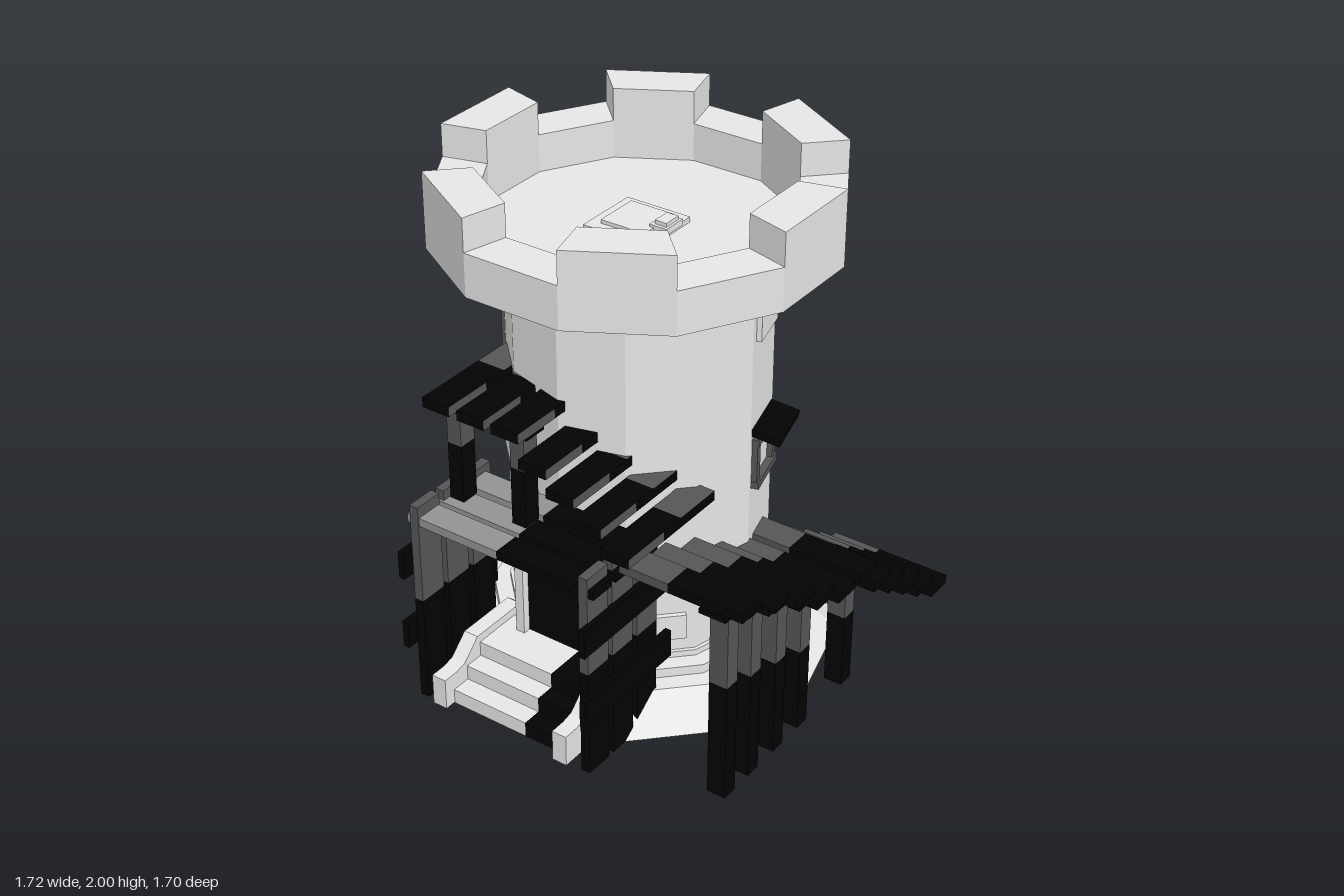
import * as THREE from 'three';

const mat = (name, color, side = THREE.FrontSide) =>
  Object.assign(new THREE.MeshStandardMaterial({ color, flatShading: true, side }), { name });
const stone = mat('stone', 0xe6e6e6, THREE.DoubleSide);
const wood = mat('wood', 0x565656);
const paleWood = mat('paleWood', 0x929292);
const black = mat('charredWood', 0x030303, THREE.DoubleSide);

const CX = -0.086, CZ = -0.072, DEG = Math.PI / 180;
const APOTHEM = 0.478; // tower wall facets

export function createModel() {
  const root = new THREE.Group();
  root.name = 'watchtower';

  const add = (name, geo, material, x = 0, y = 0, z = 0, parent = root) => {
    const m = new THREE.Mesh(geo, material);
    m.name = name;
    m.position.set(x, y, z);
    parent.add(m);
    return m;
  };
  // box from min and max corners
  const block = (name, material, x0, x1, y0, y1, z0, z1, parent = root) =>
    add(name, new THREE.BoxGeometry(x1 - x0, y1 - y0, z1 - z0), material,
      (x0 + x1) / 2, (y0 + y1) / 2, (z0 + z1) / 2, parent);
  const drum = (name, radius, y0, y1, start = 0) =>
    add(name, new THREE.CylinderGeometry(radius, radius, y1 - y0, 12, 1, false, start), stone, CX, (y0 + y1) / 2, CZ);
  const shell = (name, profile, start) =>
    add(name, new THREE.LatheGeometry(profile.map(p => new THREE.Vector2(...p)), 12, start), stone, CX, 0, CZ);

  // plank along local x: each long face is plain at its left end and charred on the rest
  const plank = (name, len, h, d, split = 0.4, plain = wood) => {
    const g = new THREE.Group();
    g.name = name;
    const cuts = [0, split, 1 - split, 1];
    for (let i = 0; i < 3; i++) {
      const a = (cuts[i] - 0.5) * len, b = (cuts[i + 1] - 0.5) * len;
      const face = i === 0 ? plain : black, back = i === 2 ? plain : black;
      block(name + 'Section', [black, face, face, face, face, back], a, b, -h / 2, h / 2, -d / 2, d / 2, g);
    }
    root.add(g);
    return g;
  };
  const post = (name, x, z, y0, y1, w, d, split) => {
    const g = plank(name, y1 - y0, w, d, split);
    g.rotation.z = -Math.PI / 2;
    g.position.set(x, (y0 + y1) / 2, z);
  };

  // hollow base and shaft
  shell('plinth', [[0.775, 0], [0.645, 0.125], [0, 0.125]], 0);
  drum('lowerRing', 0.575, 0.126, 0.165);
  drum('upperRing', 0.51, 0.165, 0.19);
  drum('shaft', 0.495, 0.185, 1.68);

  // crown: hollow parapet, open underneath, with a merlon on every second side
  const R = 0.76, r = 0.582;
  shell('parapet', [[R, 1.7], [R, 1.87], [r, 1.87], [r, 1.7]], 15 * DEG);
  const point = (rad, k) => new THREE.Vector2(rad * Math.cos((15 + 30 * k) * DEG), rad * Math.sin((15 + 30 * k) * DEG));
  for (let k = -1; k < 11; k += 2) {
    const geo = new THREE.ExtrudeGeometry(
      new THREE.Shape([point(r, k), point(R, k), point(R, k + 1), point(r, k + 1)]), { depth: 0.13, bevelEnabled: false });
    geo.rotateX(-Math.PI / 2);
    add('merlon', geo, stone, CX, 1.87, CZ);
  }
  drum('roofFloor', r, 1.7, 1.72, 15 * DEG);

  // roof hatch
  block('hatchFrame', stone, -0.235, 0.04, 1.72, 1.74, -0.21, 0.06);
  block('hatchLid', stone, -0.19, 0, 1.74, 1.755, -0.17, 0.015);
  block('hatchHinge', stone, -0.018, 0.056, 1.74, 1.765, -0.14, -0.04);
  block('hatchPin', stone, -0.003, 0.046, 1.765, 1.78, -0.127, -0.053);

  // groups that sit on a wall facet, local +z facing outward
  const onWall = (name, angle, y) => {
    const g = new THREE.Group();
    g.name = name;
    g.position.set(CX + Math.cos(angle * DEG) * APOTHEM, y, CZ + Math.sin(angle * DEG) * APOTHEM);
    g.rotation.y = (90 - angle) * DEG;
    root.add(g);
    return g;
  };

  // raised wall stones: angle, centre height
  for (const [angle, y] of [[-15, 1.45], [15, 0.49], [45, 0.305], [135, 0.878], [165, 0.575]])
    block('raisedStone', stone, -0.093, 0.093, -0.053, 0.053, -0.02, 0.02, onWall('raisedStoneMount', angle, y));

  // hooded windows
  for (const [angle, y] of [[-15, 0.785], [165, 1.165]]) {
    const g = onWall('window', angle, y);
    for (const s of [-1, 1])
      block('windowJamb', wood, s * 0.092 - 0.018, s * 0.092 + 0.018, 0.01, 0.21, -0.01, 0.022, g);
    block('windowSill', wood, -0.112, 0.112, 0, 0.028, -0.01, 0.03, g);
    block('windowHead', wood, -0.11, 0.11, 0.18, 0.21, -0.01, 0.026, g);
    const hood = block('windowHood', black, -0.115, 0.115, 0.217, 0.245, -0.03, 0.11, g);
    hood.rotation.x = 0.22;
  }

  // pointed doorway
  const arch = (C, half, bottom, side, top) => {
    const s = new C();
    s.moveTo(-half, bottom);
    s.lineTo(half, bottom);
    s.lineTo(half, side);
    s.lineTo(0, top);
    s.lineTo(-half, side);
    s.closePath();
    return s;
  };
  const frame = arch(THREE.Shape, 0.185, 0.13, 0.715, 0.785);
  frame.holes.push(arch(THREE.Path, 0.147, 0.185, 0.67, 0.755));
  add('doorFrame', new THREE.ExtrudeGeometry(frame, { depth: 0.16, bevelEnabled: false }), stone, CX, 0, 0.31);
  add('door', new THREE.ExtrudeGeometry(arch(THREE.Shape, 0.148, 0.185, 0.671, 0.756), { depth: 0.008, bevelEnabled: false }), black, CX, 0, 0.43);

  // entrance steps as treads and risers, charred at one end, between sloping cheek walls
  const RISE = 0.0617;
  [[0.77, 0.69], [0.69, 0.61], [0.61, 0.4]].forEach(([front, rear], i) => {
    for (const [material, x0, x1] of [[stone, -0.335, 0], [black, 0, 0.16]]) {
      const w = x1 - x0, x = (x0 + x1) / 2;
      add('stepRiser', new THREE.PlaneGeometry(w, RISE), material, x, RISE * (i + 0.5), front);
      add('stepTread', new THREE.PlaneGeometry(w, front - rear).rotateX(-Math.PI / 2), material, x, RISE * (i + 1), (front + rear) / 2);
    }
  });
  const cheek = new THREE.Shape([[0.25, 0], [0.815, 0], [0.815, 0.13], [0.75, 0.13], [0.7, 0.14], [0.62, 0.215], [0.36, 0.215], [0.25, 0.12]]
    .map(p => new THREE.Vector2(...p)));
  for (const x of [-0.4, 0.16]) {
    const geo = new THREE.ExtrudeGeometry(cheek, { depth: 0.062, bevelEnabled: false });
    geo.rotateY(-Math.PI / 2);
    add('stepCheek', geo, stone, x + 0.062, 0, 0);
  }

  // porch: plank screens with rails, and a flat plank roof
  for (const [x, railX] of [[-0.455, -0.486], [0.298, 0.327]]) {
    for (const [z, top] of [[0.74, 0.855], [0.595, 0.85], [0.447, 0.84]]) post('screenPlank', x, z, 0, top, 0.038, 0.12, 0.48);
    for (const y of [0.303, 0.613])
      block('screenRail', black, railX - 0.013, railX + 0.013, y - 0.057, y + 0.057, 0.325, 0.85);
  }
  for (const z of [0.74, 0.61, 0.47])
    plank('porchRoofPlank', 0.83, 0.035, 0.11, 0.49, paleWood).position.set(-0.075, 0.792, z);

  // side stair: top height and centre z of each tread
  const treads = [[0.855, 0.6], [0.785, 0.435], [0.705, 0.253], [0.615, 0.11], [0.555, -0.04], [0.555, -0.187],
    [0.45, -0.3], [0.375, -0.417], [0.3, -0.533], [0.22, -0.65], [0.15, -0.767]];
  treads.forEach(([y, z]) => plank('sideTread', 0.51, 0.037, 0.117).position.set(0.605, y - 0.018, z));
  for (const [z, y] of [[0.6, 0.82], [0.45, 0.75], [0.285, 0.67], [0.12, 0.58], [-0.192, 0.52]]) {
    post('sideStairPost', 0.75, z, 0, y, 0.075, 0.065);
    block('sideStairPostCap', black, 0.69, 0.8, y - 0.02, y, z - 0.075, z + 0.07);
  }

  // front stair climbing over the porch, ending in a landing
  const risers = [[-0.425, 1.245], [-0.27, 1.245], [-0.118, 1.245], [0, 1.143], [0.117, 1.067], [0.232, 0.987], [0.35, 0.91]];
  risers.forEach(([x, y]) => {
    const g = plank('frontTread', 0.525, 0.04, 0.12);
    g.rotation.y = -Math.PI / 2;
    g.position.set(x, y - 0.02, 0.4225);
  });
  for (const x of [-0.4, -0.115]) {
    post('landingPost', x, 0.585, 0.81, 1.205, 0.062, 0.075);
    block('landingPostCap', black, x - 0.065, x + 0.055, 1.19, 1.207, 0.535, 0.635);
  }

  return root;
}
